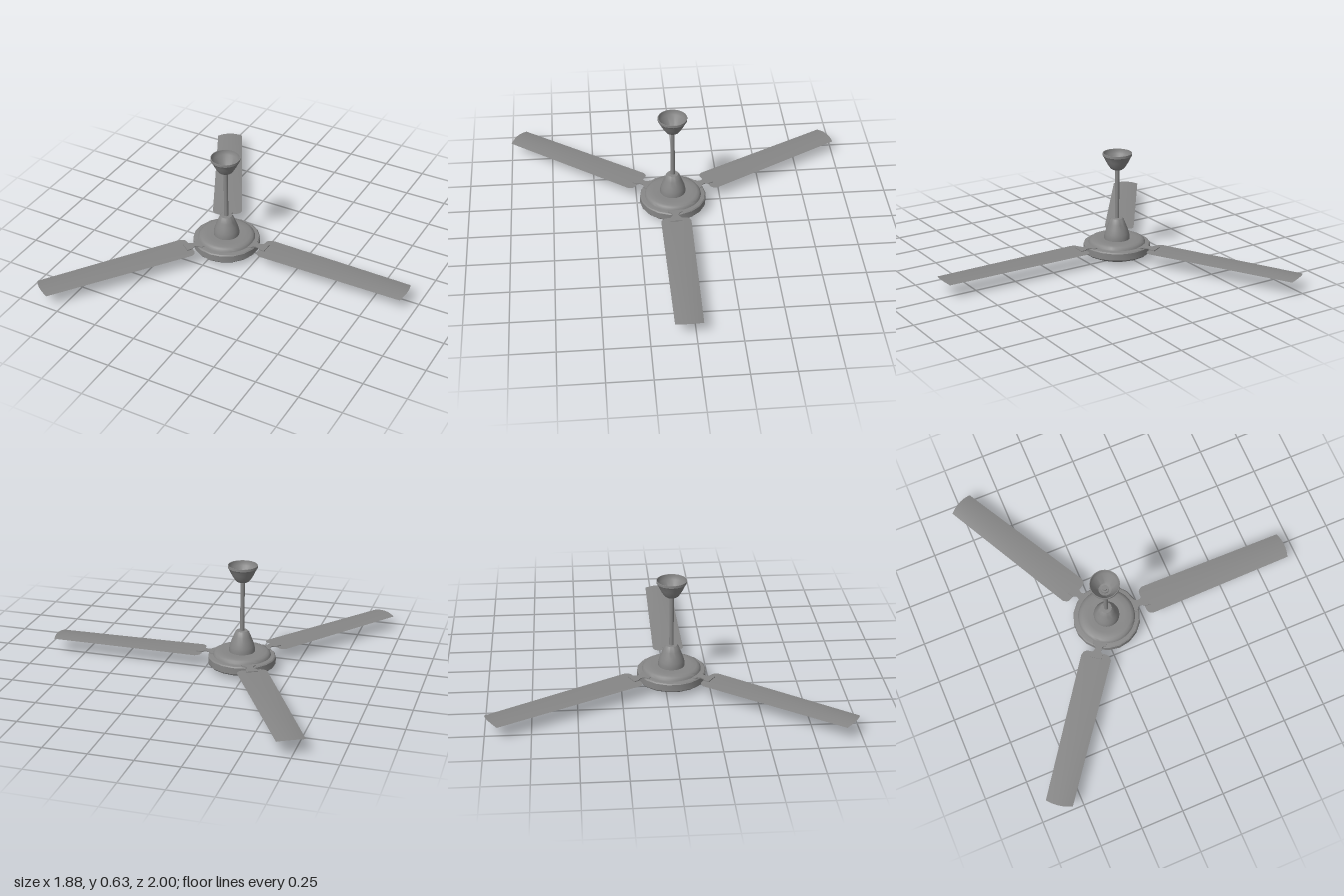
import * as THREE from 'three';
import { toCreasedNormals } from 'three/addons/utils/BufferGeometryUtils.js';

const paint = new THREE.MeshStandardMaterial({ color: 0x868686, side: THREE.DoubleSide });

function addMesh(parent, name, geometry) {
  const mesh = new THREE.Mesh(geometry, paint);
  mesh.name = name;
  parent.add(mesh);
  return mesh;
}

// Turned part from [radius, height] pairs, bottom to top
function turned(profile, sides) {
  const points = profile.map(([r, y]) => new THREE.Vector2(r, y));
  return toCreasedNormals(new THREE.LatheGeometry(points, sides), 0.6);
}

// Thin sheet, slightly tapered, more cambered towards its bowed tip
function bladeGeometry() {
  const geometry = new THREE.PlaneGeometry(1, 2, 24, 16);
  geometry.rotateX(-Math.PI / 2);
  const p = geometry.attributes.position;
  for (let i = 0; i < p.count; i++) {
    const u = p.getX(i) + 0.5;
    const v = p.getZ(i);
    const root = 0.23 + 0.03 * Math.abs(v) ** 8;
    const tip = 1.148 - 0.013 * v * v;
    const halfWidth = THREE.MathUtils.lerp(0.088, 0.078, u);
    const y = 0.0905 + 0.0025 * u - (0.002 + 0.006 * u) * v * v;
    p.setXYZ(i, THREE.MathUtils.lerp(root, tip, u), y, v * halfWidth);
  }
  geometry.computeVertexNormals();
  return geometry;
}

// Flat bracket: wide clamp on the motor, narrow neck, flared end under the blade
function bracketGeometry() {
  const side = [[0.145, 0.04], [0.175, 0.042], [0.184, 0.036], [0.19, 0.024],
    [0.205, 0.018], [0.22, 0.02], [0.235, 0.032], [0.265, 0.034]];
  const mirrored = side.map(([x, z]) => [x, -z]).reverse();
  const shape = new THREE.Shape([...side, ...mirrored].map(([x, z]) => new THREE.Vector2(x, z)));
  const geometry = new THREE.ExtrudeGeometry(shape, { depth: 0.006, bevelEnabled: false });
  geometry.rotateX(-Math.PI / 2);
  geometry.translate(0, 0.0895, 0);
  return geometry;
}

export function createModel() {
  const fan = new THREE.Group();
  fan.name = 'ceilingFan';
  fan.position.set(-0.207, 0, 0.038);

  // Motor: shallow bowl with a faceted rim and a smooth raised cover
  addMesh(fan, 'motorHousing', turned([
    [0, 0.003], [0.07, 0.004], [0.12, 0.013], [0.165, 0.026], [0.19, 0.038],
    [0.196, 0.045], [0.196, 0.084], [0.19, 0.09], [0.165, 0.093], [0, 0.093],
  ], 18));
  addMesh(fan, 'motorCover', turned([
    [0.168, 0.088], [0.165, 0.1], [0.157, 0.11], [0.143, 0.116], [0.11, 0.117], [0.07, 0.115],
  ], 40));

  // Bell-shaped cover at the foot of the rod
  addMesh(fan, 'lowerCanopy', turned([
    [0.075, 0.113], [0.075, 0.13], [0.071, 0.15], [0.062, 0.177], [0.05, 0.207],
    [0.04, 0.232], [0.033, 0.24], [0.012, 0.241],
  ], 32));

  const rod = addMesh(fan, 'downRod', new THREE.CylinderGeometry(0.0125, 0.0125, 0.35, 20));
  rod.position.y = 0.4;

  // Cup at the ceiling, open on top
  addMesh(fan, 'upperCanopy', turned([
    [0.0125, 0.538], [0.03, 0.538], [0.04, 0.545], [0.052, 0.562], [0.067, 0.588],
    [0.077, 0.61], [0.082, 0.618], [0.085, 0.622], [0.085, 0.636], [0.081, 0.636],
    [0.08, 0.622], [0.073, 0.608], [0.048, 0.564], [0.036, 0.548], [0.0125, 0.544],
  ], 32));
  const collar = addMesh(fan, 'rodCollar', new THREE.CylinderGeometry(0.022, 0.022, 0.016, 20));
  collar.position.y = 0.552;

  // Three blades, each with its bracket
  const blade = bladeGeometry();
  const bracket = bracketGeometry();
  for (const degrees of [0, 118, 233.8]) {
    const arm = new THREE.Group();
    arm.name = 'bladeArm';
    arm.rotation.y = THREE.MathUtils.degToRad(degrees);
    addMesh(arm, 'blade', blade);
    addMesh(arm, 'bladeBracket', bracket);
    fan.add(arm);
  }

  const model = new THREE.Group();
  model.add(fan);
  return model;
}
